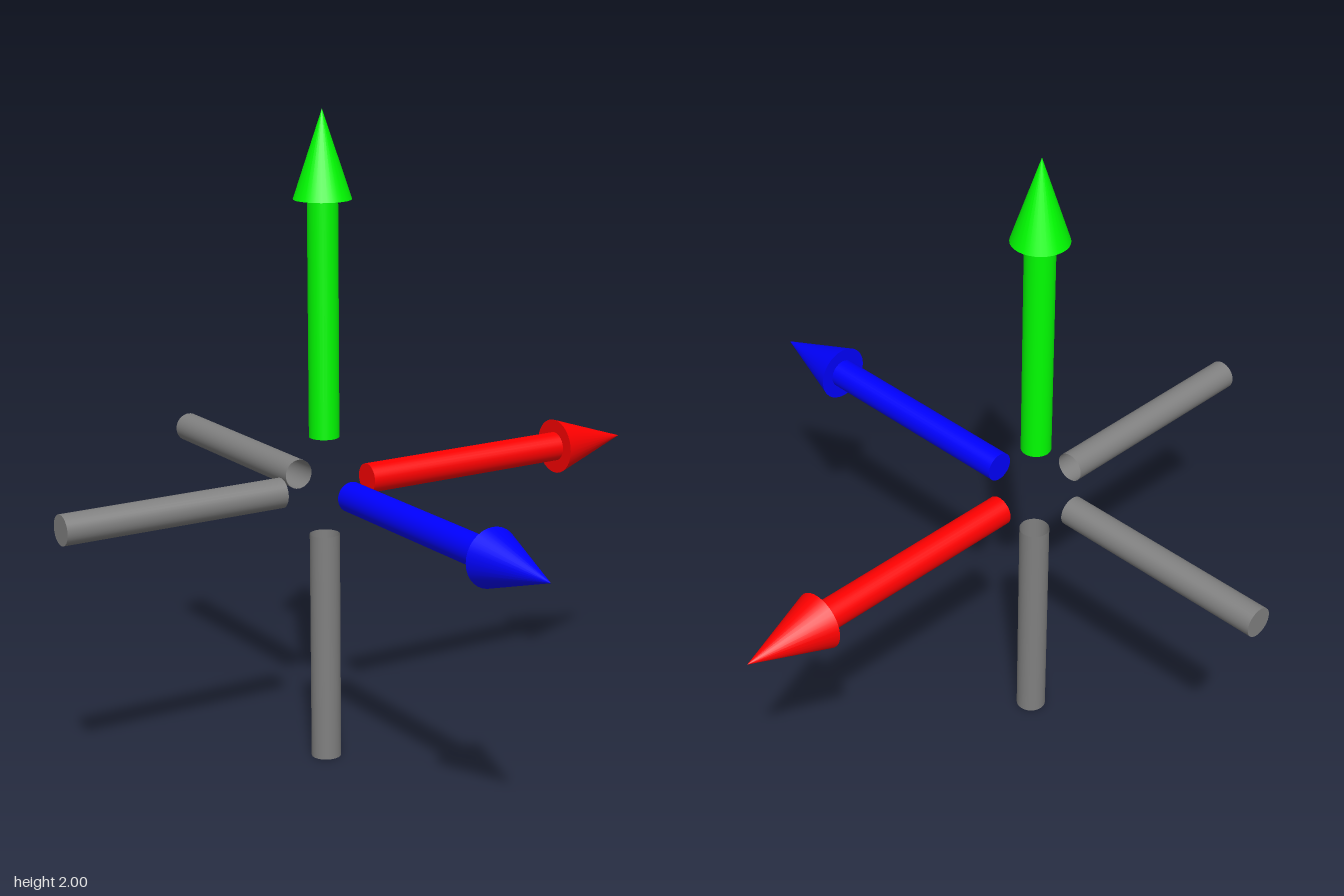
import * as THREE from 'three';

const SIDES = 32;
const SHAFT_RADIUS = 0.046, HEAD_RADIUS = 0.087;
const GAP = 0.152;        // empty space between the origin and each rod
const HEAD_START = 0.868; // where the arrow head begins
const TIP = 1.131, TAIL = 0.869;

// Rod along +y from y0 to y1, closed by a disc at one end and open at the other
function makeRod(name, y0, y1, capY, material) {
  const rod = new THREE.Group();
  rod.name = name;
  const wall = new THREE.Mesh(
    new THREE.CylinderGeometry(SHAFT_RADIUS, SHAFT_RADIUS, y1 - y0, SIDES, 1, true), material);
  wall.name = name + 'Wall';
  wall.position.y = (y0 + y1) / 2;
  const cap = new THREE.Mesh(new THREE.CircleGeometry(SHAFT_RADIUS, SIDES), material);
  cap.name = name + 'Cap';
  cap.rotation.x = Math.PI / 2; // faces down
  cap.position.y = capY;
  rod.add(wall, cap);
  return rod;
}

// One axis: coloured arrow on the positive side, grey rod on the negative side
function makeAxis(name, color) {
  const axis = new THREE.Group();
  axis.name = name;
  const paint = new THREE.MeshStandardMaterial({ color, side: THREE.DoubleSide });
  const grey = new THREE.MeshStandardMaterial({ color: 0x808080, side: THREE.DoubleSide });

  const head = new THREE.Mesh(new THREE.ConeGeometry(HEAD_RADIUS, TIP - HEAD_START, SIDES), paint);
  head.name = 'arrowHead';
  head.position.y = (HEAD_START + TIP) / 2;

  axis.add(
    makeRod('arrowShaft', GAP, HEAD_START, GAP, paint),
    head,
    makeRod('negativeRod', -TAIL, -GAP, -TAIL, grey));
  return axis;
}

export function createModel() {
  const model = new THREE.Group();
  model.name = 'axisMarker';

  const xAxis = makeAxis('xAxis', 0xff0000);
  xAxis.rotation.z = -Math.PI / 2;
  const yAxis = makeAxis('yAxis', 0x00ff00);
  const zAxis = makeAxis('zAxis', 0x0000ff);
  zAxis.rotation.x = Math.PI / 2;

  // All three axes share one origin, offset so the whole is centred
  for (const axis of [xAxis, yAxis, zAxis]) {
    axis.position.set(-0.132, TAIL, -0.132);
    model.add(axis);
  }
  return model;
}
